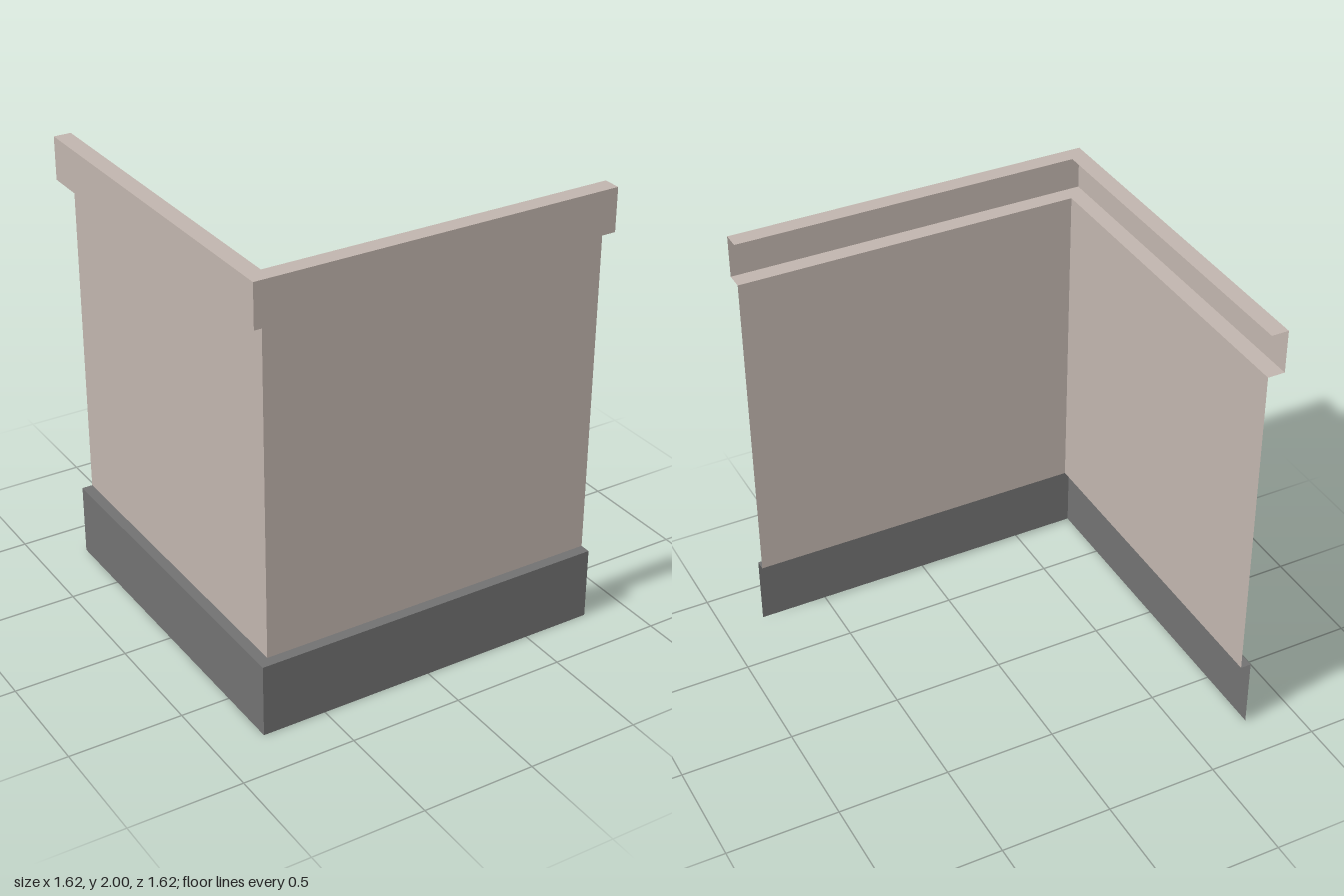
import * as THREE from 'three';

const END = 0.81;      // open ends of both wings
const OUTER = 0.812;   // face of the top trim
const WALL = 0.736;    // face of the wall panels
const BASE = 0.784;    // face of the plinth
const TRIM_Y = 1.81, BASE_Y = 0.325;

// Sweeps an open profile of [offset, y] points (top to bottom) around the L-shaped corner
function cornerSheet(profile) {
  const path = (d, y) => [[-d, y, -END], [-d, y, d], [END, y, d]];
  const positions = [];
  for (let j = 0; j < profile.length - 1; j++) {
    const upper = path(...profile[j]);
    const lower = path(...profile[j + 1]);
    for (let i = 0; i < 2; i++) {
      const a = upper[i], b = lower[i], c = lower[i + 1], d = upper[i + 1];
      positions.push(...a, ...b, ...c, ...a, ...c, ...d);
    }
  }
  const geometry = new THREE.BufferGeometry();
  geometry.setAttribute('position', new THREE.Float32BufferAttribute(positions, 3));
  geometry.computeVertexNormals();
  return geometry;
}

export function createModel() {
  const plaster = new THREE.MeshStandardMaterial({ color: 0xc0b4ad, side: THREE.DoubleSide });
  plaster.name = 'warm grey plaster';
  const stone = new THREE.MeshStandardMaterial({ color: 0x717171, side: THREE.DoubleSide });
  stone.name = 'dark grey stone';

  const model = new THREE.Group();
  model.name = 'cornerWall';
  const add = (name, profile, material) => {
    const mesh = new THREE.Mesh(cornerSheet(profile), material);
    mesh.name = name;
    model.add(mesh);
  };

  // Top trim: cap, face and underside
  add('topTrim', [[WALL, 2], [OUTER, 2], [OUTER, TRIM_Y], [WALL, TRIM_Y]], plaster);
  // Recessed wall panels
  add('wallPanels', [[WALL, TRIM_Y], [WALL, BASE_Y]], plaster);
  // Plinth: ledge and face
  add('plinth', [[WALL, BASE_Y], [BASE, BASE_Y], [BASE, 0]], stone);

  return model;
}
